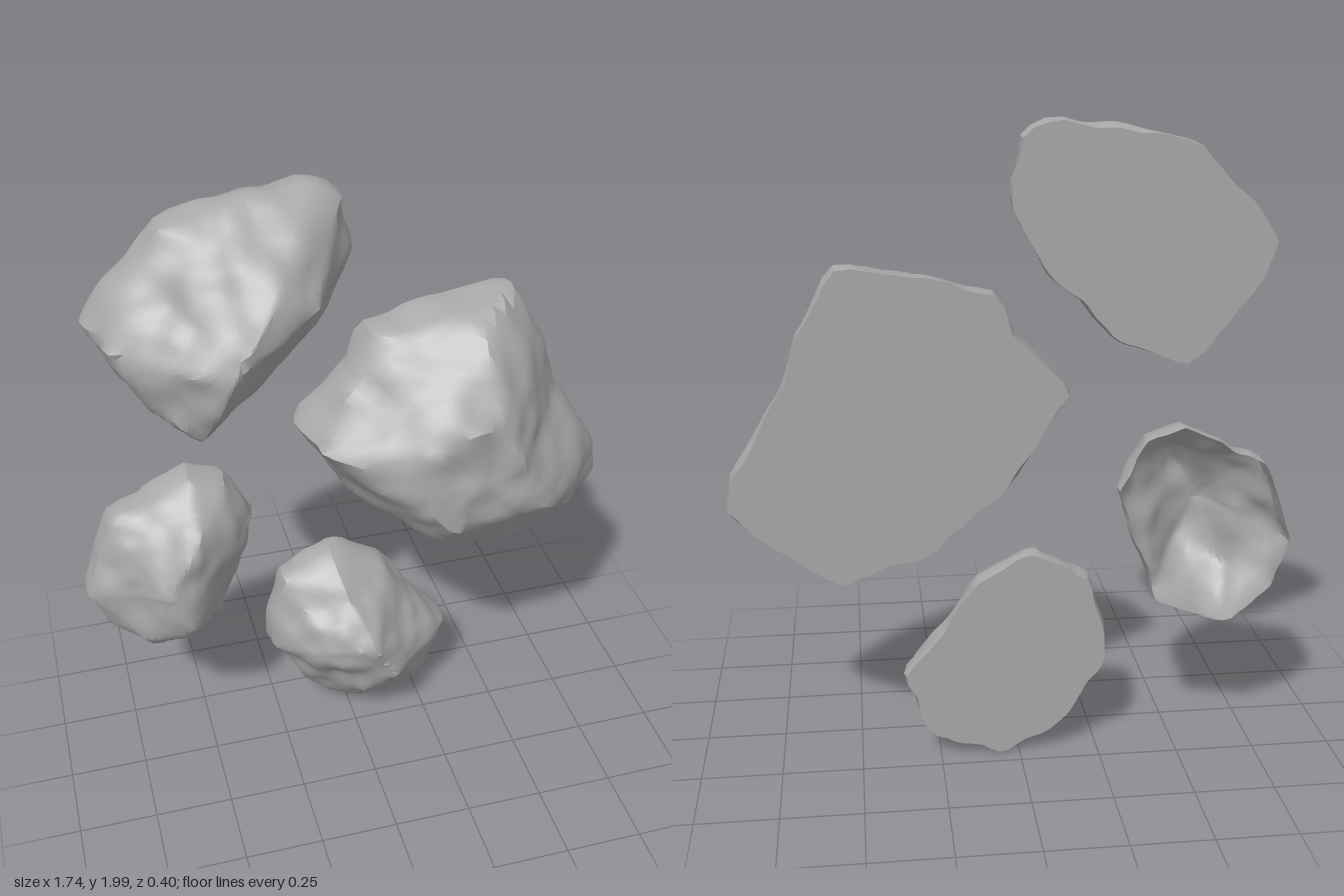
import * as THREE from 'three';
import { ConvexGeometry } from 'three/addons/geometries/ConvexGeometry.js';
import { toCreasedNormals } from 'three/addons/utils/BufferGeometryUtils.js';

const BACK = -0.2, FRONT = 0.2, SIDES = 72, RINGS = 18;

// Smooth value noise in -1..1
function hash(x, y, z) {
  const s = Math.sin(x * 127.1 + y * 311.7 + z * 74.7) * 43758.5453;
  return (s - Math.floor(s)) * 2 - 1;
}
function noise(p, scale) {
  const c = [p.x * scale, p.y * scale, p.z * scale], i = c.map(Math.floor);
  const f = c.map((v, k) => (v - i[k]) ** 2 * (3 - 2 * (v - i[k])));
  let sum = 0;
  for (let k = 0; k < 8; k++) {
    const b = [k & 1, (k >> 1) & 1, k >> 2];
    sum += hash(i[0] + b[0], i[1] + b[1], i[2] + b[2]) *
      b.reduce((w, bit, a) => w * (bit ? f[a] : 1 - f[a]), 1);
  }
  return sum;
}

// Planes of the convex body spanned by the points
function hullPlanes(points) {
  const pos = new ConvexGeometry(points).getAttribute('position');
  const planes = [];
  for (let i = 0; i < pos.count; i += 3) {
    const [a, b, c] = [0, 1, 2].map((k) => new THREE.Vector3().fromBufferAttribute(pos, i + k));
    planes.push(new THREE.Plane().setFromCoplanarPoints(a, b, c));
  }
  return planes;
}
function hullRadius(planes, origin, dir) {
  let r = Infinity;
  for (const p of planes) {
    const slope = p.normal.dot(dir);
    if (slope > 1e-5) r = Math.min(r, -p.distanceToPoint(origin) / slope);
  }
  return r;
}

// Distance from the centre to the outline at an angle
function outlineRadius(rim, centre, angle) {
  const d = new THREE.Vector2(Math.cos(angle), Math.sin(angle));
  let r = 0;
  rim.forEach((corner, i) => {
    const a = corner.clone().sub(centre);
    const edge = rim[(i + 1) % rim.length].clone().sub(corner);
    const det = d.cross(edge);
    const t = a.cross(edge) / det, s = a.cross(d) / det;
    if (t > 0 && s >= -1e-6 && s <= 1 + 1e-6) r = Math.max(r, t);
  });
  return r;
}

// outline: corners [x, y] on the back plane; crown: ridge points [x, y, z]
function stoneGeometry(outline, crown, closed) {
  const rim = outline.map(([x, y]) => new THREE.Vector2(x, y));
  const centre = new THREE.Box2().setFromPoints(rim).getCenter(new THREE.Vector2());
  const origin = new THREE.Vector3(centre.x, centre.y, BACK);
  const points = crown.map((p) => new THREE.Vector3(...p));
  for (const p of rim) {
    const lifted = p.clone().lerp(centre, 0.04);
    points.push(new THREE.Vector3(p.x, p.y, BACK), new THREE.Vector3(lifted.x, lifted.y, BACK + 0.09));
  }
  const planes = hullPlanes(points);

  // Rings climb from the back plane to the front
  const verts = [], index = [], dir = new THREE.Vector3();
  for (let j = 0; j <= RINGS; j++) {
    const e = (j / RINGS) * Math.PI / 2, ce = Math.cos(e);
    for (let i = 0; i < SIDES; i++) {
      const a = (i / SIDES) * Math.PI * 2;
      dir.set(Math.cos(a), Math.sin(a), 0);
      const fit = outlineRadius(rim, centre, a) / hullRadius(planes, origin, dir);
      dir.set(Math.cos(a) * ce, Math.sin(a) * ce, Math.sin(e));
      let r = hullRadius(planes, origin, dir) * (1 + (fit - 1) * ce * ce);
      const p = origin.clone().addScaledVector(dir, r);
      r += 0.018 * noise(p, 7) + 0.012 * noise(p, 15);
      if (j === 0) r *= 0.97;
      p.copy(origin).addScaledVector(dir, r);
      verts.push(p.x, Math.max(p.y, 0), Math.min(p.z, FRONT));
    }
  }
  for (let j = 0; j < RINGS; j++) {
    for (let i = 0; i < SIDES; i++) {
      const a = j * SIDES + i, b = j * SIDES + (i + 1) % SIDES;
      index.push(a, b, a + SIDES);
      if (j < RINGS - 1) index.push(b, b + SIDES, a + SIDES);
    }
  }
  // Flat back
  if (closed) {
    const mid = verts.length / 3;
    verts.push(...origin);
    for (let i = 0; i < SIDES; i++) index.push(mid, (i + 1) % SIDES, i);
  }
  const geometry = new THREE.BufferGeometry();
  geometry.setAttribute('position', new THREE.Float32BufferAttribute(verts, 3));
  geometry.setIndex(index);
  return toCreasedNormals(geometry, 0.6);
}

export function createModel() {
  const group = new THREE.Group();
  group.name = 'wallStones';
  const grey = new THREE.MeshStandardMaterial({ color: 0xa8a8a8, side: THREE.DoubleSide });
  grey.name = 'stoneGrey';
  function addStone(name, outline, crown, closed = true) {
    const mesh = new THREE.Mesh(stoneGeometry(outline, crown, closed), grey);
    mesh.name = name;
    group.add(mesh);
  }

  addStone('largeStone',
    [[-0.16, 1.2], [0, 1.4], [0.06, 1.52], [0.53, 1.6], [0.67, 1.39], [0.72, 1.2],
      [0.87, 0.97], [0.88, 0.83], [0.57, 0.59], [0.29, 0.68], [0, 0.93]],
    [[-0.12, 1.18, 0.03], [0.08, 1.13, 0.15], [0.25, 0.94, 0.2], [0.58, 0.94, 0.17], [0.42, 1.3, 0.18],
      [0.2, 1.22, 0.19], [0.4, 1.52, 0], [0.25, 0.83, 0.1], [0.72, 0.84, 0.03]]);

  addStone('topStone',
    [[-0.78, 1.62], [-0.53, 1.92], [-0.08, 2], [0, 1.95], [0.04, 1.77], [-0.04, 1.58],
      [-0.31, 1.32], [-0.51, 1.26], [-0.7, 1.46]],
    [[-0.39, 1.58, 0.2], [-0.49, 1.33, 0.1], [-0.24, 1.8, 0.13], [-0.7, 1.6, 0], [-0.13, 1.72, 0.11]]);

  // Hollow shell with an open back
  addStone('leftStone',
    [[-0.49, 1.09], [-0.38, 1.04], [-0.3, 0.88], [-0.42, 0.49], [-0.67, 0.4], [-0.81, 0.55],
      [-0.88, 0.68], [-0.77, 0.95]],
    [[-0.62, 0.76, 0.08], [-0.5, 0.94, 0.04], [-0.55, 0.62, 0.08], [-0.7, 0.54, 0]], false);

  addStone('bottomStone',
    [[-0.05, 0.69], [0.14, 0.6], [0.36, 0.29], [0.29, 0.06], [0.05, 0], [-0.1, 0.08],
      [-0.29, 0.31], [-0.23, 0.6]],
    [[-0.03, 0.6, 0], [0.04, 0.42, 0.12], [0.12, 0.27, 0.1], [-0.1, 0.4, 0.08], [0.02, 0.18, 0.04]]);

  return group;
}
